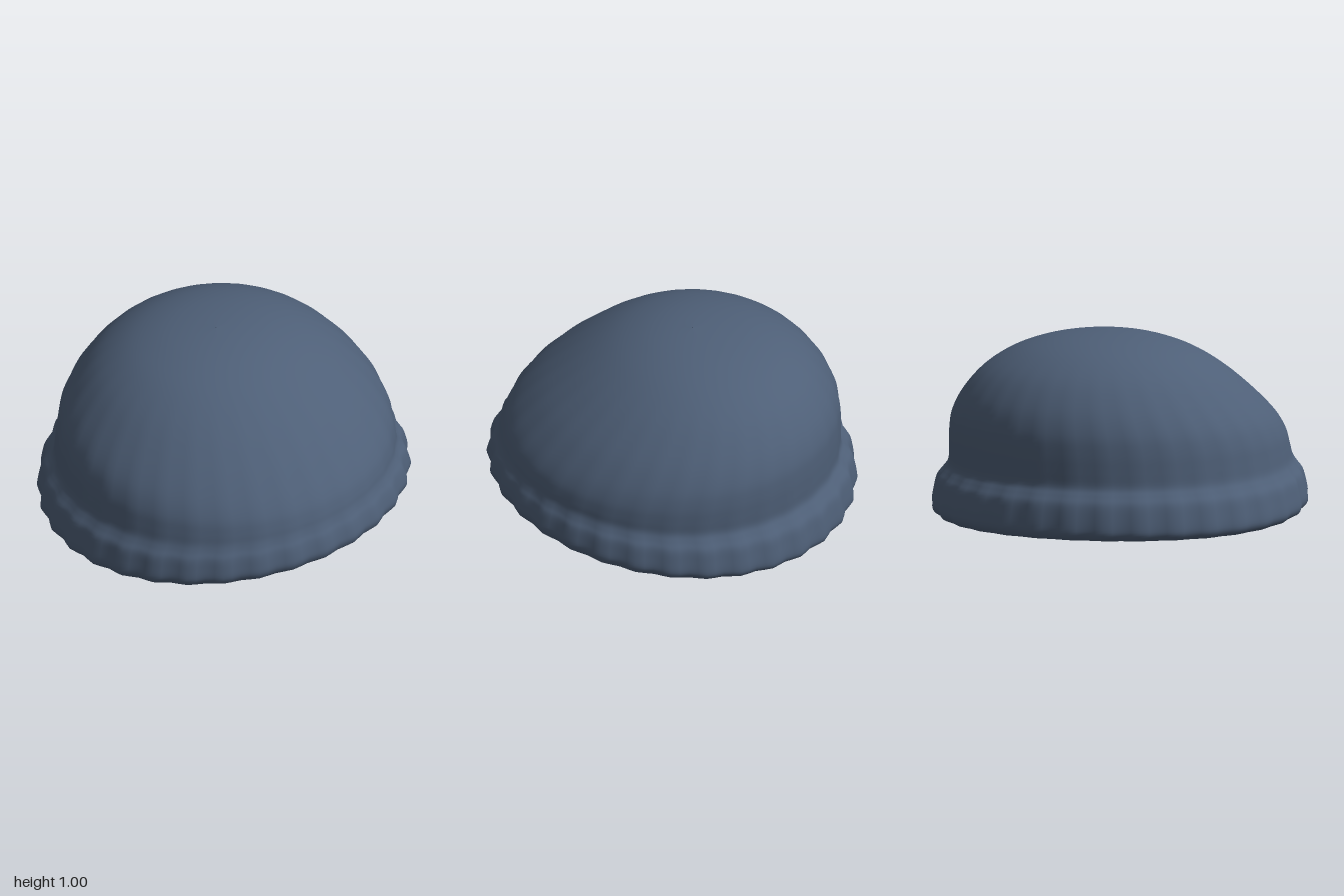
import * as THREE from 'three';

const SEGMENTS = 128, RIBS = 32, STEPS = 4;

// Cross-sections from rim to crown: [height, centreX, centreZ, radiusX, radiusZ, tilt, rib depth]
const OUTER = [
  [0.03, 0, 0, 0.958, 0.938, 1, 0.006],
  [0.045, 0, 0, 0.978, 0.955, 1, 0.009],
  [0.08, 0, 0, 0.990, 0.966, 1, 0.010],
  [0.15, 0, 0, 0.978, 0.958, 0.8, 0.010],
  [0.21, 0, 0, 0.962, 0.943, 0.68, 0.009],
  [0.25, 0, 0.005, 0.933, 0.920, 0.62, 0.007],
  [0.29, 0, 0.01, 0.910, 0.900, 0.58, 0.004],
  [0.36, 0.005, 0.005, 0.902, 0.892, 0.35, 0.003],
  [0.45, 0.012, -0.008, 0.890, 0.876, 0.12, 0.003],
  [0.55, 0.025, -0.035, 0.855, 0.835, 0, 0.003],
  [0.67, 0.042, -0.07, 0.772, 0.750, 0, 0.002],
  [0.80, 0.052, -0.105, 0.645, 0.615, 0, 0.001],
  [0.90, 0.052, -0.12, 0.490, 0.460, 0, 0],
  [0.96, 0.050, -0.12, 0.325, 0.305, 0, 0],
  [0.99, 0.045, -0.11, 0.160, 0.150, 0, 0],
  [1.00, 0.040, -0.10, 0.003, 0.003, 0, 0],
];

// Smooth interpolation between neighbouring cross-sections
function refine(rows) {
  const out = [];
  const at = (i) => rows[Math.min(Math.max(i, 0), rows.length - 1)];
  for (let i = 0; i < rows.length - 1; i++) {
    for (let s = 0; s < STEPS; s++) {
      const t = s / STEPS;
      out.push(rows[i].map((p1, k) => {
        const p0 = at(i - 1)[k], p2 = at(i + 1)[k], p3 = at(i + 2)[k];
        return p1 + 0.5 * t * (p2 - p0 + t * (2 * p0 - 5 * p1 + 4 * p2 - p3 + t * (3 * (p1 - p2) + p3 - p0)));
      }));
    }
  }
  out.push(rows[rows.length - 1]);
  return out;
}

// Inner wall: the same shape, slightly smaller
const innerRow = ([y, cx, cz, rx, rz, tilt, rib]) => [
  y - 0.025 * Math.max(0, (y - 0.25) / 0.75) + (y < 0.06 ? 0.015 : 0),
  cx, cz, Math.max(rx - 0.025, 0.003), Math.max(rz - 0.025, 0.003), tilt, rib,
];

function shellGeometry(rows) {
  const positions = [], index = [];
  rows.forEach(([y, cx, cz, rx, rz, tilt, rib], i) => {
    for (let j = 0; j < SEGMENTS; j++) {
      const a = (j / SEGMENTS) * Math.PI * 2;
      const wave = rib * Math.cos(a * RIBS);
      const x = cx + (rx + wave) * Math.cos(a);
      const z = cz + (rz + wave) * Math.sin(a);
      // The rim rises towards the front
      positions.push(x, y + tilt * (0.08 * z + 0.05 * z * z), z);
      if (i < rows.length - 1) {
        const p = i * SEGMENTS + j, q = i * SEGMENTS + (j + 1) % SEGMENTS;
        index.push(p, p + SEGMENTS, q, q, p + SEGMENTS, q + SEGMENTS);
      }
    }
  });
  const geometry = new THREE.BufferGeometry();
  geometry.setAttribute('position', new THREE.Float32BufferAttribute(positions, 3));
  geometry.setIndex(index);
  geometry.computeVertexNormals();
  return geometry;
}

export function createModel() {
  const group = new THREE.Group();
  group.name = 'knitCap';
  const wool = new THREE.MeshStandardMaterial({ color: 0x4e5f77 });
  wool.name = 'slateBlueWool';

  // One continuous shell: lining down to the rim, then cuff and crown
  const outer = refine(OUTER);
  const lining = outer.map(innerRow).reverse();
  const cap = new THREE.Mesh(shellGeometry([...lining, ...outer]), wool);
  cap.name = 'capShell';
  group.add(cap);
  return group;
}
